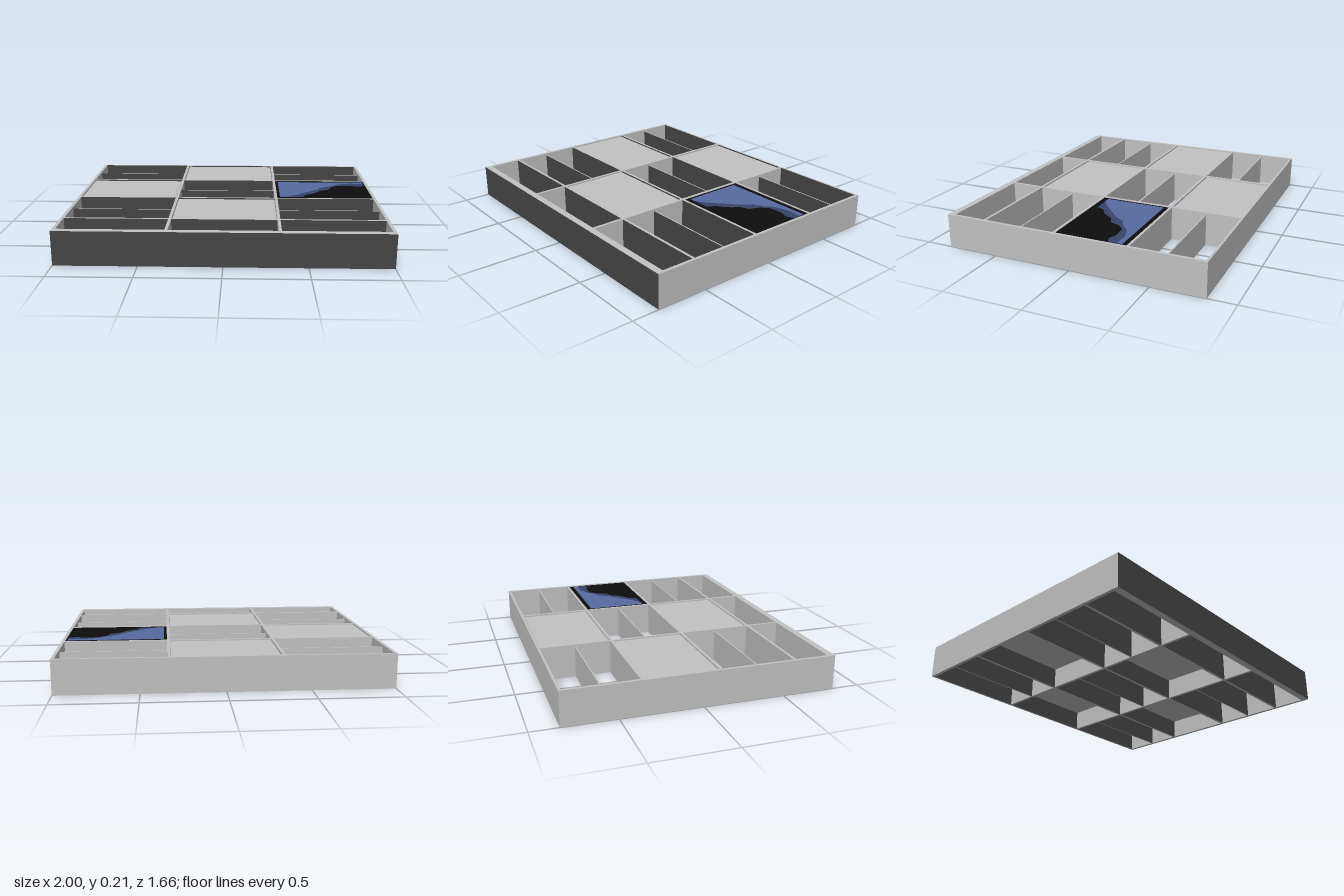
import * as THREE from 'three';

const mat = (name, color) => Object.assign(new THREE.MeshStandardMaterial({ color }), { name });

export function createModel() {
  const model = new THREE.Group();
  const grey = mat('light grey', 0xc2c2c2);
  const dark = mat('dark grey', 0x454545);
  const black = mat('black', 0x0d0d0d);
  const blue = mat('blue', 0x576ba1);
  const navy = mat('dark blue', 0x36436a);
  // Every panel is light grey, with its front face dark grey
  const panelMats = [grey, grey, grey, grey, dark, grey];
  const H = 0.213;

  // Box given by its limits on each axis
  function panel(name, x0, x1, y0, y1, z0, z1, material = panelMats) {
    const geo = new THREE.BoxGeometry(x1 - x0, y1 - y0, z1 - z0);
    const mesh = new THREE.Mesh(geo, material);
    mesh.position.set((x0 + x1) / 2, (y0 + y1) / 2, (z0 + z1) / 2);
    mesh.name = name;
    model.add(mesh);
    return mesh;
  }

  // Outer frame
  panel('backWall', -1, 1, 0, H, -0.83, -0.815);
  panel('frontWall', -1, 1, 0, H, 0.787, 0.83);
  for (const s of [-1, 1]) {
    panel('sideWall', s * 0.99 - 0.01, s * 0.99 + 0.01, 0, H, -0.815, 0.787);
    panel('lengthDivider', s * 0.332 - 0.009, s * 0.332 + 0.009, 0, H, -0.815, 0.787);
  }

  // Compartment limits
  const columns = [[-0.98, -0.341], [-0.323, 0.323], [0.341, 0.98]];
  const rows = [[-0.815, -0.372], [-0.355, 0.095], [0.112, 0.565], [0.582, 0.787]];
  for (const [x0, x1] of columns) {
    for (let r = 0; r < 3; r++) panel('crossDivider', x0, x1, 0, H, rows[r][1], rows[r + 1][0]);
  }

  // Checkerboard of covered compartments and thin slats
  for (let r = 0; r < 3; r++) {
    const [z0, z1] = rows[r], mid = (z0 + z1) / 2;
    columns.forEach(([x0, x1], c) => {
      if ((r + c) % 2 === 0) {
        panel('thinSlat', x0, x1, 0, 0.2, mid - 0.004, mid + 0.004);
        return;
      }
      const isScreen = r === 1 && c === 2;
      const g = isScreen ? 0 : 0.004;
      panel(isScreen ? 'screenBody' : 'lid', x0 + g, x1 - g, 0.13, 0.206, z0 + g, z1 - g);
      // Small cable hole in the compartment wall
      const hole = new THREE.Mesh(new THREE.CylinderGeometry(0.006, 0.006, 0.002, 12), black);
      hole.rotation.z = Math.PI / 2;
      hole.position.set(x0 + 0.001, 0.055, mid + 0.02);
      hole.name = 'cableHole';
      model.add(hole);
    });
  }

  // Screen: black glass with two flat picture layers
  panel('screenGlass', 0.341, 0.98, 0.204, 0.209, -0.355, 0.095, black);
  function layer(name, points, y, material) {
    const shape = new THREE.Shape(points.map(([x, z]) => new THREE.Vector2(x, -z)));
    const mesh = new THREE.Mesh(new THREE.ShapeGeometry(shape).rotateX(-Math.PI / 2), material);
    mesh.position.y = y;
    mesh.name = name;
    model.add(mesh);
  }
  layer('screenDarkWave', [
    [0.36, -0.325], [0.97, -0.325], [0.97, -0.235], [0.92, -0.22], [0.87, -0.24], [0.78, -0.235],
    [0.73, -0.19], [0.705, -0.125], [0.645, -0.1], [0.62, -0.06], [0.585, -0.02], [0.54, 0.005],
    [0.515, 0.06], [0.36, 0.06],
  ], 0.2105, navy);
  layer('screenLightWave', [
    [0.36, -0.325], [0.97, -0.325], [0.97, -0.29], [0.87, -0.295], [0.78, -0.265], [0.73, -0.22],
    [0.665, -0.185], [0.62, -0.12], [0.565, -0.07], [0.51, -0.02], [0.47, 0.015], [0.405, 0.06],
    [0.36, 0.06],
  ], 0.212, blue);

  return model;
}
